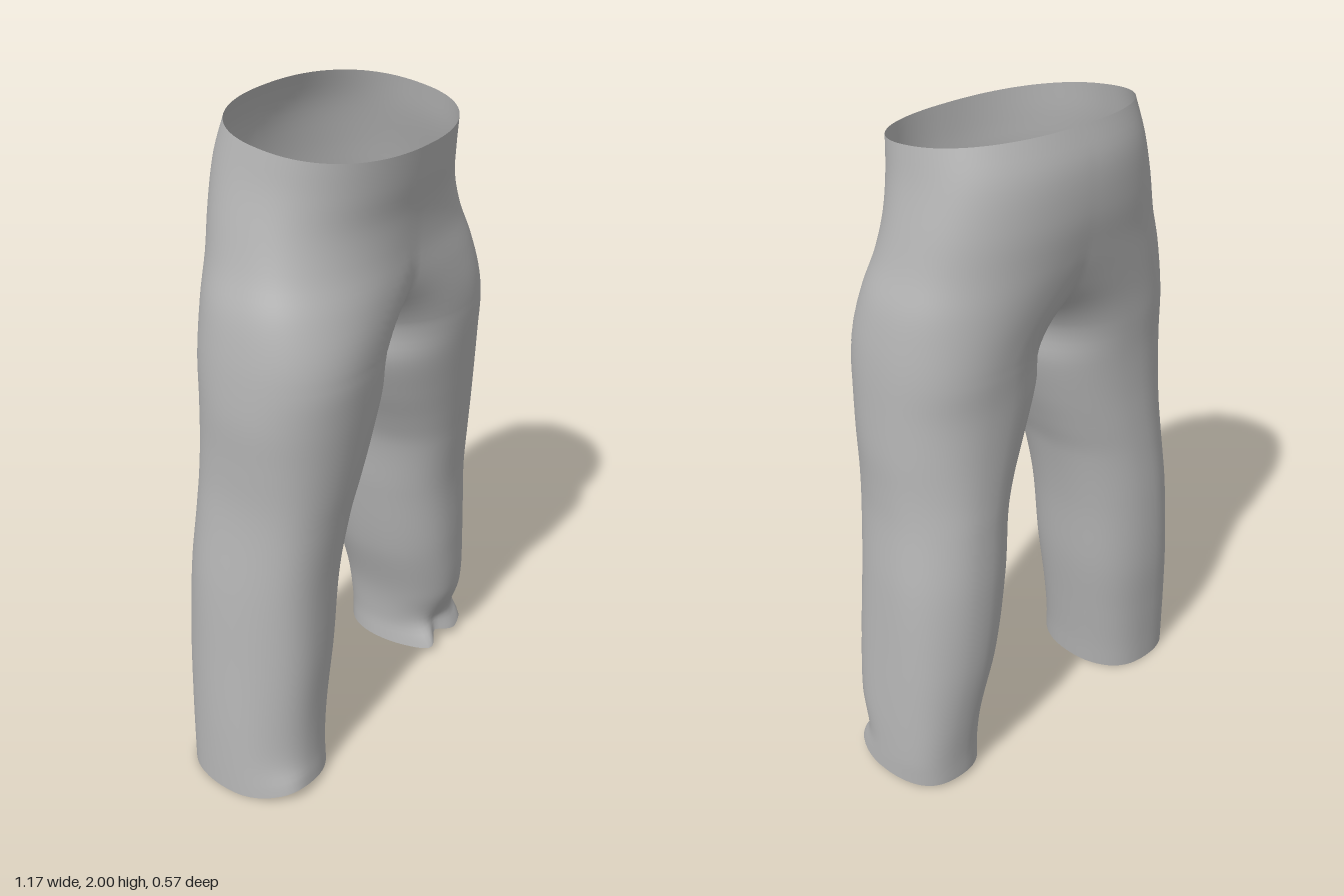
import * as THREE from 'three';
import { mergeGeometries, mergeVertices } from 'three/addons/utils/BufferGeometryUtils.js';

// Cross-sections from hem to waist: height, outer x, inner x, front z, back z.
// Above the crotch the inner x is negative and the section is cut at the middle.
const HIPS = [
  [1.25, 0.51, 0.006, 0.265, -0.215],
  [1.36, 0.503, 0, 0.274, -0.222],
  [1.45, 0.492, -0.06, 0.275, -0.23],
  [1.55, 0.472, -0.19, 0.268, -0.245],
  [1.65, 0.438, -0.32, 0.258, -0.262],
  [1.76, 0.408, -0.4, 0.26, -0.279],
  [1.87, 0.38, -0.38, 0.274, -0.275],
  [1.97, 0.362, -0.362, 0.285, -0.245],
];
const LEFT_LEG = [
  [0.005, 0.585, 0.285, 0.165, -0.205],
  [0.1, 0.584, 0.29, 0.14, -0.208],
  [0.24, 0.58, 0.272, 0.18, -0.22],
  [0.45, 0.566, 0.212, 0.195, -0.238],
  [0.7, 0.545, 0.17, 0.2, -0.24],
  [0.9, 0.52, 0.145, 0.222, -0.228],
  [1.0, 0.515, 0.11, 0.235, -0.22],
  [1.12, 0.515, 0.055, 0.25, -0.215],
  ...HIPS,
];
const RIGHT_LEG = [
  [0.005, 0.587, 0.237, 0.205, -0.205],
  [0.1, 0.582, 0.228, 0.195, -0.21],
  [0.24, 0.573, 0.21, 0.192, -0.22],
  [0.45, 0.556, 0.182, 0.2, -0.235],
  [0.7, 0.537, 0.158, 0.205, -0.235],
  [0.9, 0.515, 0.12, 0.222, -0.225],
  [1.0, 0.508, 0.085, 0.235, -0.22],
  [1.12, 0.508, 0.042, 0.25, -0.215],
  ...HIPS,
];

// Smooth interpolation between the cross-sections
function sectionAt(rows, y) {
  let i = 0;
  while (i < rows.length - 2 && y > rows[i + 1][0]) i++;
  const a = rows[i], b = rows[i + 1];
  const before = rows[Math.max(i - 1, 0)], after = rows[Math.min(i + 2, rows.length - 1)];
  const h = b[0] - a[0], t = (y - a[0]) / h, t2 = t * t, t3 = t2 * t;
  return [1, 2, 3, 4].map((k) => {
    const m0 = (b[k] - before[k]) / (b[0] - before[0]);
    const m1 = (after[k] - a[k]) / (after[0] - a[0]);
    return (2 * t3 - 3 * t2 + 1) * a[k] + (t3 - 2 * t2 + t) * h * m0
      + (3 * t2 - 2 * t3) * b[k] + (t3 - t2) * h * m1;
  });
}

const bump = (v, centre, width) => Math.exp(-(((v - centre) / width) ** 2));

// One leg together with its half of the hips; side is +1 for left, -1 for right
function legGeometry(rows, side) {
  const ROWS = 84, N = 56, P = 0.88;
  const bottom = rows[0][0], top = rows[rows.length - 1][0];
  const positions = [], index = [];
  for (let r = 0; r <= ROWS; r++) {
    const y0 = bottom + (top - bottom) * r / ROWS;
    const [outer, inner, front, back] = sectionAt(rows, y0);
    const cx = (outer + inner) / 2, rx = (outer - inner) / 2;
    const cz = (front + back) / 2, rz = (front - back) / 2;
    const start = inner < 0 ? Math.acos(Math.min(1, Math.max(0, cx / rx) ** (1 / P))) : 0;
    const legFade = 1 - THREE.MathUtils.smoothstep(y0, 0.9, 1.3);
    const hem = bump(y0, 0, 0.09);
    for (let i = 0; i <= N; i++) {
      const a = start + (2 * Math.PI - 2 * start) * i / N;
      const c = Math.cos(a), s = i === N && start === 0 ? 0 : Math.sin(a);
      // Soft vertical folds in the cloth
      const fold = 1 + legFade * 0.012 * Math.sin(5 * a + 4 * y0 * side) * Math.sin(a / 2);
      let x = cx - rx * fold * Math.sign(c) * Math.abs(c) ** P;
      let z = cz + rz * fold * Math.sign(s) * Math.abs(s) ** P;
      let y = y0;
      // Kicked-out, slightly lifted front hems
      if (side > 0) {
        z += hem * (0.035 * bump(a, 0.8, 0.3) - 0.03 * bump(a, 1.35, 0.25) + 0.02 * bump(a, 2.4, 0.4));
        y += hem * (0.035 * bump(a, 1.3, 0.35) + 0.02 * bump(a, 2.2, 0.4) + 0.015);
      } else {
        z += hem * 0.025 * bump(a, 2.2, 0.45);
        y += hem * (0.035 * bump(a, 2.0, 0.6) + 0.01 * bump(a, 1, 0.5));
      }
      // Waist rises towards the back
      y -= 0.13 * z * THREE.MathUtils.smoothstep(y0, 1.6, 1.97);
      if (start > 0 && (i === 0 || i === N)) x = 0;
      positions.push(side * Math.max(x, 0), y - 0.005, z);
    }
  }
  for (let r = 0; r < ROWS; r++) {
    for (let i = 0; i < N; i++) {
      const a = r * (N + 1) + i, b = a + 1, c = a + N + 1, d = c + 1;
      if (side > 0) index.push(a, b, d, a, d, c);
      else index.push(a, d, b, a, c, d);
    }
  }
  const g = new THREE.BufferGeometry();
  g.setAttribute('position', new THREE.Float32BufferAttribute(positions, 3));
  g.setIndex(index);
  return g;
}

export function createModel() {
  const model = new THREE.Group();
  model.name = 'trousers';
  const cloth = new THREE.MeshStandardMaterial({ color: 0xb4b4b4, side: THREE.DoubleSide });
  cloth.name = 'grey cloth';

  // Both halves welded along the middle seam so the shading stays smooth
  const geometry = mergeVertices(
    mergeGeometries([legGeometry(LEFT_LEG, 1), legGeometry(RIGHT_LEG, -1)]), 1e-4);
  geometry.computeVertexNormals();
  const mesh = new THREE.Mesh(geometry, cloth);
  mesh.name = 'trouserCloth';
  model.add(mesh);
  return model;
}
